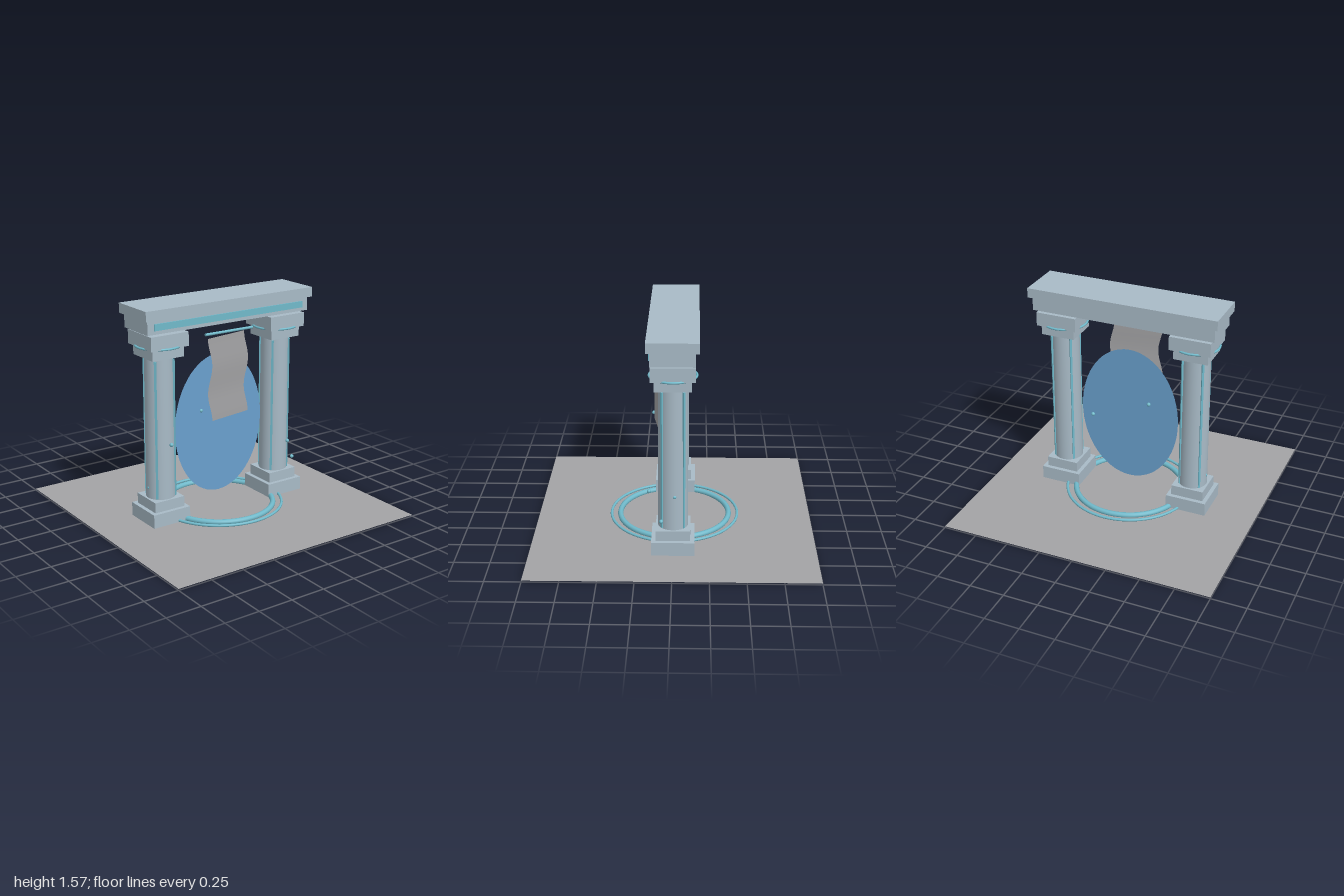
import * as THREE from 'three';

export function createModel() {
  const model = new THREE.Group();
  model.name = 'stonePortal';

  const mat = (name, color, side = THREE.FrontSide) => {
    const m = new THREE.MeshStandardMaterial({ color, side });
    m.name = name;
    return m;
  };
  const stone = mat('paleStone', 0xa8bac6);
  const glow = mat('glowingTeal', 0x70b9ca);
  const portalBlue = mat('portalBlue', 0x69a0cd, THREE.DoubleSide);
  const grey = mat('plainGrey', 0xa3a3a5, THREE.DoubleSide);

  const add = (parent, name, geometry, material, x = 0, y = 0, z = 0) => {
    const mesh = new THREE.Mesh(geometry, material);
    mesh.name = name;
    mesh.position.set(x, y, z);
    parent.add(mesh);
    return mesh;
  };
  // box given by its bottom and top heights
  const block = (parent, name, w, y0, y1, d, material = stone, z = 0) =>
    add(parent, name, new THREE.BoxGeometry(w, y1 - y0, d), material, 0, (y0 + y1) / 2, z);
  // ring lying flat
  const ring = (parent, name, radius, tube, y) =>
    add(parent, name, new THREE.TorusGeometry(radius, tube, 12, 64).rotateX(Math.PI / 2), glow, 0, y, 0);

  // ground and floor rings
  add(model, 'ground', new THREE.PlaneGeometry(2, 2).rotateX(-Math.PI / 2), grey, 0, 0.01, 0);
  ring(model, 'innerFloorRing', 0.4, 0.02, 0.02);
  ring(model, 'outerFloorRing', 0.465, 0.01, 0.022);

  // columns
  for (const side of [1, -1]) {
    const column = new THREE.Group();
    column.name = side > 0 ? 'leftColumn' : 'rightColumn';
    column.position.x = side * 0.5;
    model.add(column);
    block(column, 'plinth', 0.3, 0.011, 0.11, 0.3);
    block(column, 'upperBase', 0.24, 0.11, 0.185, 0.24);
    add(column, 'shaft', new THREE.CylinderGeometry(0.1, 0.105, 1.03, 32), stone, 0, 0.7, 0);
    block(column, 'lowerCapital', 0.25, 1.21, 1.285, 0.25);
    block(column, 'upperCapital', 0.3, 1.285, 1.385, 0.3);
    ring(column, 'capitalRing', 0.16, 0.008, 1.287);
    // inlaid strips on the four diagonals
    for (let i = 0; i < 4; i++) {
      const a = Math.PI / 4 + (i * Math.PI) / 2;
      const strip = add(column, 'glowStrip', new THREE.BoxGeometry(0.015, 1, 0.015), glow,
        0.104 * Math.sin(a), 0.69, 0.104 * Math.cos(a));
      strip.rotation.y = a;
    }
  }

  // lintel
  block(model, 'lintel', 1.35, 1.4, 1.495, 0.3);
  block(model, 'cornice', 1.4, 1.5, 1.57, 0.35);
  block(model, 'lintelInlay', 1.25, 1.427, 1.473, 0.02, glow, 0.15);

  // oval portal surface
  const portal = add(model, 'portal', new THREE.CircleGeometry(1, 64), portalBlue, 0, 0.63, 0);
  portal.scale.set(0.375, 0.52, 1);

  // hanging banner, swaying sideways and turned slightly
  const cloth = new THREE.PlaneGeometry(0.35, 0.6, 8, 32);
  const p = cloth.attributes.position;
  for (let i = 0; i < p.count; i++) {
    const x = p.getX(i), y = p.getY(i);
    p.setX(i, x - 0.018 * Math.cos(((0.3 - y) / 0.4) * Math.PI * 2));
    p.setZ(i, -0.17 * x);
  }
  cloth.computeVertexNormals();
  add(model, 'banner', cloth, grey, 0, 1.01, 0.12);
  add(model, 'bannerRod', new THREE.CylinderGeometry(0.01, 0.01, 0.4, 12).rotateZ(Math.PI / 2), glow, 0, 1.335, 0.13);

  // floating motes
  const motes = [
    [-0.51, 0.61, 0.167], [0.505, 0.435, 0.167], [0.62, 0.26, 0.08],
    [0.595, 0.435, -0.012], [0.26, 0.61, -0.07], [-0.15, 0.745, -0.005], [-0.595, 0.26, 0],
  ];
  const moteShape = new THREE.SphereGeometry(0.014, 16, 12);
  for (const [x, y, z] of motes) add(model, 'mote', moteShape, glow, x, y, z);

  return model;
}
